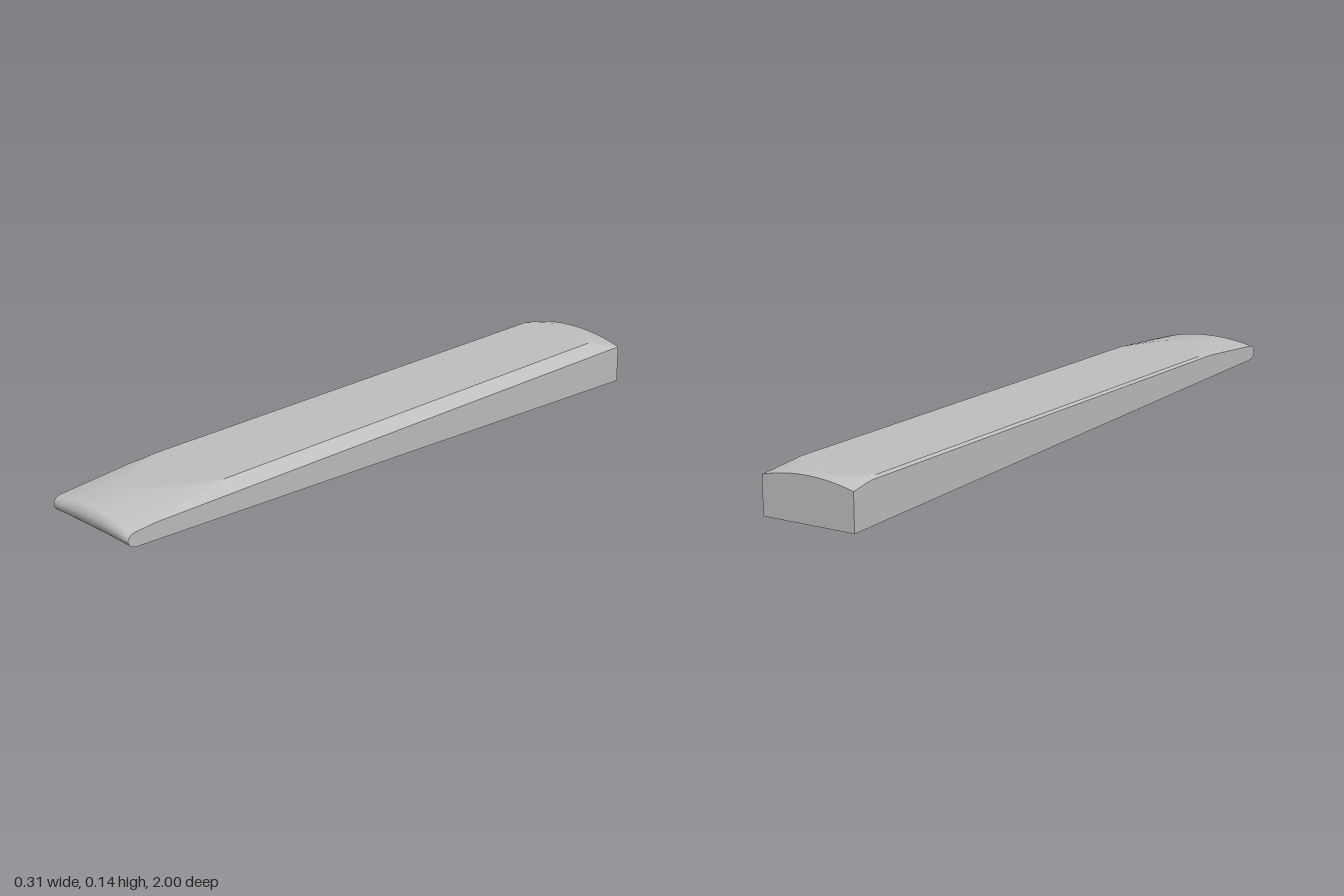
import * as THREE from 'three';
import { toCreasedNormals } from 'three/addons/utils/BufferGeometryUtils.js';

const HALF = 0.157;      // half width
const NOSE = 0.97;       // z where the rounded front edge begins
const { lerp, clamp } = THREE.MathUtils;

// Sloping underside, slightly twisted to one side
const bottomY = (x, z) => {
  const back = 0.006 - 0.038 * x, front = 0.07 - 0.019 * x;
  return lerp(back, front, clamp((z + 1) / (NOSE + 1), 0, 1));
};

// Flat top cut by two edge chamfers and by crowned slopes at both ends
const topY = (x, z) => {
  const rightChamfer = 0.145 - (x - 0.12) * 0.8;
  const leftChamfer = 0.145 + (x + 0.15) * 1.0;
  const crown = -0.81 * x * x - 0.03 * x;
  const backSlope = 0.14 + crown + (z + 1) * 0.19;
  const frontSlope = 0.135 + crown + (NOSE - z) * 0.075;
  return Math.min(0.145, rightChamfer, leftChamfer, backSlope, frontSlope);
};

// Section positions: [z, height factor]
function sections() {
  const list = [];
  for (let i = 0; i <= 20; i++) list.push([-1 + i * 0.0075, 1]);
  for (let i = 1; i <= 40; i++) list.push([lerp(0.5, NOSE, i / 40), 1]);
  for (let i = 1; i <= 12; i++) {
    const a = (i / 12) * Math.PI / 2;
    list.push([NOSE + 0.03 * Math.sin(a), Math.cos(a)]);
  }
  return list;
}

function barGeometry() {
  const xs = [-HALF, -0.15];
  for (let i = 1; i <= 27; i++) xs.push(-0.15 + i * 0.01);
  xs.push(0.13, 0.14, 0.15, HALF);
  const n = xs.length, ring = 2 * n, pos = [], index = [];

  // Each ring runs over the top and back along the underside
  const rows = sections();
  for (const [z, f] of rows) {
    const zc = Math.min(z, NOSE);
    const point = (x, side) => {
      const t = topY(x, zc), b = bottomY(x, zc);
      pos.push(x, (t + b) / 2 + side * f * (t - b) / 2, z);
    };
    xs.forEach(x => point(x, 1));
    [...xs].reverse().forEach(x => point(x, -1));
  }
  for (let i = 0; i < rows.length - 1; i++) {
    for (let j = 0; j < ring; j++) {
      const k = (j + 1) % ring;
      const a = i * ring + j, b = i * ring + k;
      index.push(a, a + ring, b, a + ring, b + ring, b);
    }
  }
  // Flat back end
  for (let j = 0; j < n - 1; j++) {
    const b0 = ring - 1 - j;
    index.push(j, j + 1, b0, j + 1, b0 - 1, b0);
  }
  const geo = new THREE.BufferGeometry();
  geo.setAttribute('position', new THREE.Float32BufferAttribute(pos, 3));
  geo.setIndex(index);
  return toCreasedNormals(geo, 0.17);
}

export function createModel() {
  const group = new THREE.Group();
  group.name = 'taperedBar';
  const grey = new THREE.MeshStandardMaterial({ color: 0xbfbfbf });
  grey.name = 'grey';
  const bar = new THREE.Mesh(barGeometry(), grey);
  bar.name = 'bar';
  group.add(bar);
  return group;
}
